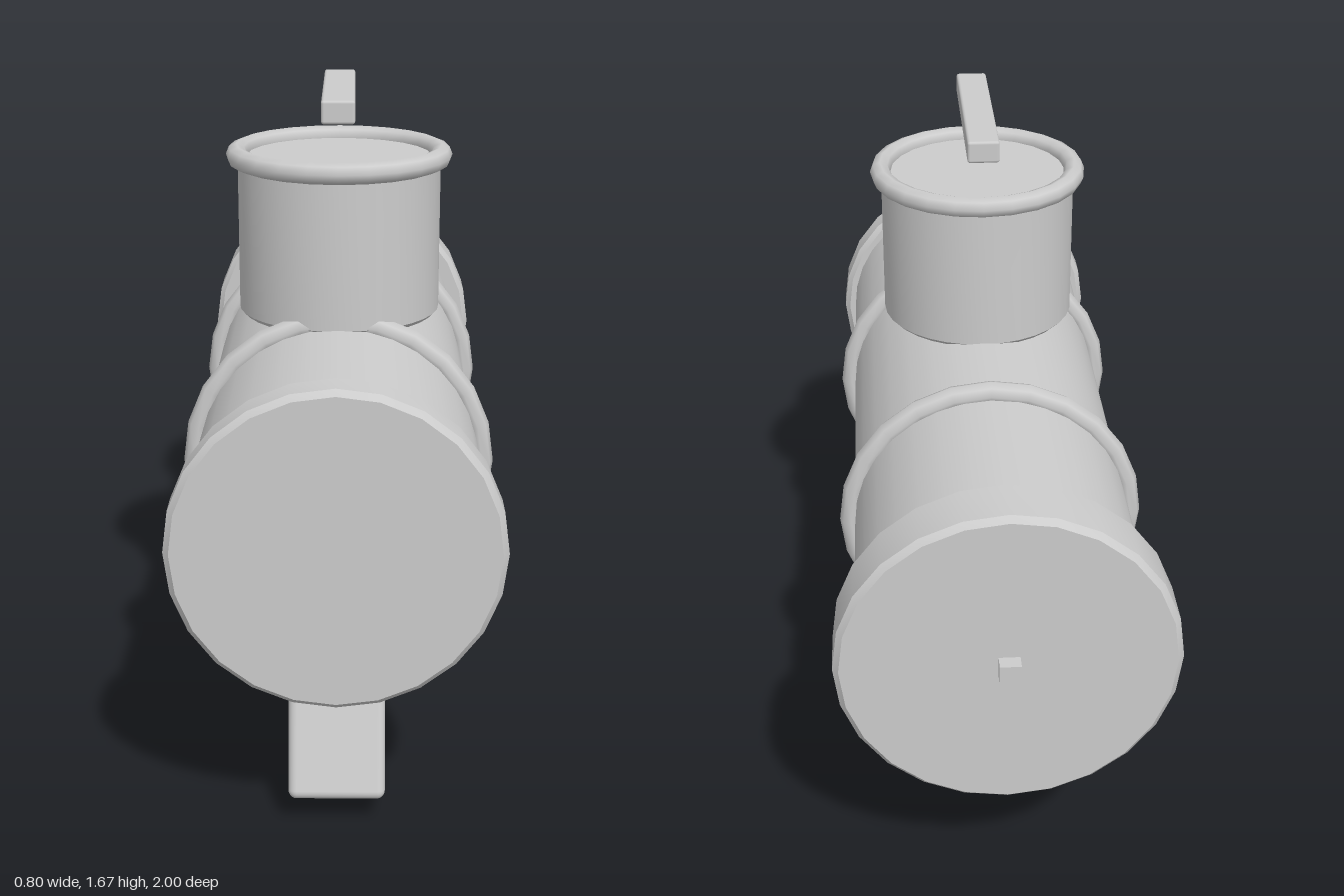
import * as THREE from 'three';
import { toCreasedNormals } from 'three/addons/utils/BufferGeometryUtils.js';
import { RoundedBoxGeometry } from 'three/addons/geometries/RoundedBoxGeometry.js';

const AXIS_Y = 0.765;   // height of the barrel axis
const TURRET_Z = 0.2;

export function createModel() {
  const group = new THREE.Group();
  const grey = new THREE.MeshStandardMaterial({ color: 0xcccccc });
  grey.name = 'light grey';

  function add(name, geometry, x, y, z) {
    const mesh = new THREE.Mesh(geometry, grey);
    mesh.name = name;
    mesh.position.set(x, y, z);
    group.add(mesh);
    return mesh;
  }

  // Upright drum with bevelled rims, standing on y = 0
  function drum(radius, height, bevel, sides) {
    const profile = [
      [0, 0], [radius - bevel, 0], [radius, bevel],
      [radius, height - bevel], [radius - bevel, height], [0, height],
    ].map(([x, y]) => new THREE.Vector2(x, y));
    return toCreasedNormals(new THREE.LatheGeometry(profile, sides), 0.5);
  }

  // Drum lying along z, from its back end to its front end
  function lyingDrum(name, radius, back, front, bevel, sides) {
    const geometry = drum(radius, front - back, bevel, sides).rotateX(Math.PI / 2);
    return add(name, geometry, 0, AXIS_Y, back);
  }

  // Barrel with end caps
  lyingDrum('barrel', 0.35, -0.88, 0.96, 0.01, 32);
  lyingDrum('frontCap', 0.382, 0.9, 1.0, 0.014, 24);
  lyingDrum('rearCap', 0.402, -0.965, -0.815, 0.014, 24);

  // Raised bands around the barrel
  for (const [name, z] of [['frontBand', 0.415], ['rearBand', -0.335]]) {
    add(name, new THREE.TorusGeometry(0.36, 0.029, 8, 24), 0, AXIS_Y, z);
  }

  // Small peg on the back
  add('rearPeg', new THREE.BoxGeometry(0.05, 0.05, 0.06), 0, 0.765, -0.97);

  // Turret with a rolled rim and a floating bar above it
  add('turret', drum(0.255, 0.4, 0.012, 32), 0, 1.1, TURRET_Z);
  add('turretRim', new THREE.TorusGeometry(0.257, 0.027, 8, 24).rotateX(Math.PI / 2), 0, 1.502, TURRET_Z);
  add('topBar', new RoundedBoxGeometry(0.08, 0.056, 0.53, 2, 0.007), 0, 1.648, 0.205);

  // Slanted handles: placed by the middle of the bottom face, leaning back
  function handle(name, width, length, depth, y, z, lean) {
    const geometry = new RoundedBoxGeometry(width, length, depth, 3, 0.02);
    geometry.translate(0, length / 2, 0);
    add(name, geometry, 0, y, z).rotation.x = -lean;
  }
  handle('frontHandle', 0.23, 0.55, 0.275, 0.045, 0.772, 0.31);
  handle('rearHandle', 0.14, 0.4, 0.185, 0.153, -0.358, 0.175);

  // Trigger guard ring under the barrel
  add('triggerGuard', new THREE.TorusGeometry(0.133, 0.02, 8, 24).rotateY(Math.PI / 2), 0, 0.478, 0.478);

  return group;
}
